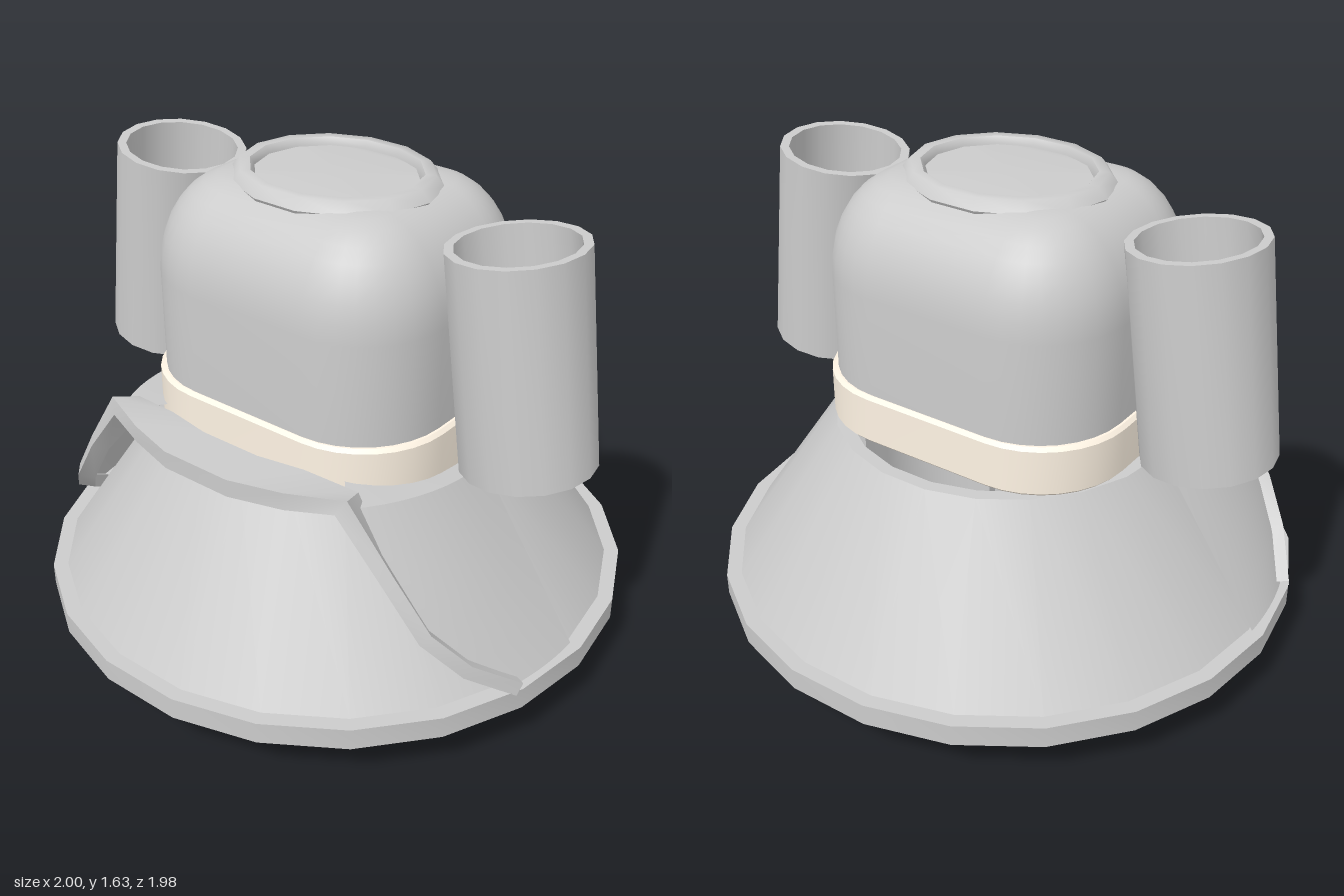
import * as THREE from 'three';
import { toCreasedNormals } from 'three/addons/utils/BufferGeometryUtils.js';

const grey = new THREE.MeshStandardMaterial({ color: 0xcccccc });
const greyThin = new THREE.MeshStandardMaterial({ color: 0xcccccc, side: THREE.DoubleSide });
const cream = new THREE.MeshStandardMaterial({ color: 0xfff4e4 });

function part(name, geometry, material = grey, crease = 0.6) {
  const mesh = new THREE.Mesh(toCreasedNormals(geometry, crease), material);
  mesh.name = name;
  return mesh;
}

// Skin a list of rows, each a list of Vector3
function skin(rows, closed) {
  const n = rows[0].length, index = [], pos = [];
  rows.flat().forEach(p => pos.push(p.x, p.y, p.z));
  for (let i = 0; i < rows.length - 1; i++) {
    for (let j = 0; j < (closed ? n : n - 1); j++) {
      const k = (j + 1) % n, a = i * n + j, b = i * n + k;
      index.push(a, b, b + n, a, b + n, a + n);
    }
  }
  const g = new THREE.BufferGeometry();
  g.setAttribute('position', new THREE.Float32BufferAttribute(pos, 3));
  g.setIndex(index);
  return g;
}

// Rounded rectangle ring in plan
function ring(hx, hz, r, y) {
  const pts = [], corners = [[1, -1], [-1, -1], [-1, 1], [1, 1]];
  corners.forEach(([sx, sz], q) => {
    for (let i = 0; i <= 8; i++) {
      const a = (q + i / 8) * Math.PI / 2;
      pts.push(new THREE.Vector3(sx * (hx - r) + r * Math.cos(a), y, sz * (hz - r) - r * Math.sin(a)));
    }
  });
  return pts;
}

// Closed body from layers of [inset, y]
function roundedBody(hx, hz, r, layers) {
  const rows = layers.map(([d, y]) => ring(hx - d, hz - d, r - d, y));
  const cap = y => rows[0].map(() => new THREE.Vector3(0, y, 0));
  return skin([cap(layers[0][1]), ...rows, cap(layers.at(-1)[1])], true);
}

// Closed ring profile, anticlockwise in (radius, height)
function lathe(profile, sides) {
  const pts = [...profile, profile[0]].map(p => new THREE.Vector2(...p));
  return new THREE.LatheGeometry(pts, sides, Math.PI / 2);
}

// Half-round leg shell, open at the back
function legShell(R, inner, y0, y1) {
  const s = new THREE.Shape();
  s.moveTo(-R, 0.1);
  s.lineTo(-R, -0.02);
  s.absarc(0, -0.02, R, Math.PI, 2 * Math.PI, false);
  s.lineTo(R, 0.1);
  s.lineTo(inner, 0.1);
  s.lineTo(inner, -0.02);
  s.absarc(0, -0.02, inner, 2 * Math.PI, Math.PI, true);
  s.closePath();
  return new THREE.ExtrudeGeometry(s, { depth: y1 - y0, bevelEnabled: false, curveSegments: 16 })
    .rotateX(-Math.PI / 2).translate(0, y0, 0);
}

const coneRadius = y => 0.95 - (y - 0.24) * 0.676;

// Front edge of the overlay, bottom to top: x, y, z
const edge = [[0.93, 0.24, 0.28], [0.83, 0.35, 0.42], [0.73, 0.47, 0.5],
  [0.61, 0.65, 0.53], [0.47, 0.84, 0.54]];

// Raised side panel that peels away from the skirt towards the front
function sidePanel(side) {
  const rows = [];
  const addRow = (r, y, angle, baseR, baseY) => {
    const row = [];
    for (let i = 0; i <= 10; i++) {
      const u = i / 10, a = THREE.MathUtils.lerp(0, angle, u);
      const rr = THREE.MathUtils.lerp(baseR, r, u ** 1.3), yy = THREE.MathUtils.lerp(baseY, y, u);
      row.push(new THREE.Vector3(side * rr * Math.cos(a), yy, rr * Math.sin(a)));
    }
    rows.push(row);
  };
  edge.forEach(([x, y, z]) => {
    const baseY = Math.min(y, 0.78);
    addRow(Math.hypot(x, z), y, Math.atan2(z, x), coneRadius(baseY) + 0.012, baseY);
  });
  const [x, y, z] = edge.at(-1);
  addRow(0.56, y, Math.atan2(z, x), 0.54, 0.78); // inward top strip
  return skin(rows, false);
}

// Edge trim: up one side, across the front lip, down the other
function trim() {
  const half = [...edge.slice(0, 4).map(p => [...p, 0.06, 0.045]),
    [0.46, 0.85, 0.53, 0.1, 0.06], [0.29, 0.85, 0.57, 0.14, 0.06], [0.12, 0.85, 0.61, 0.16, 0.06]];
  const path = [...half, ...[...half].reverse().map(([x, ...rest]) => [-x, ...rest])];
  const at = i => new THREE.Vector3(...path[Math.max(0, Math.min(path.length - 1, i))].slice(0, 3));
  const rows = path.map(([x, y, z, w, h], i) => {
    const tangent = at(i + 1).sub(at(i - 1)).normalize();
    const out = new THREE.Vector3(x, 0, z).normalize();
    out.addScaledVector(tangent, -out.dot(tangent)).normalize();
    const up = tangent.clone().cross(out);
    return [[1, 1], [1, -1], [-1, -1], [-1, 1]].map(([a, b]) =>
      at(i).addScaledVector(out, a * w / 2).addScaledVector(up, b * h / 2));
  });
  return skin(rows, true);
}

export function createModel() {
  const model = new THREE.Group();
  model.name = 'robedFigure';

  // Head with domed top
  const layers = [[0, 0.82]];
  for (let i = 0; i <= 8; i++) {
    const a = i / 8 * Math.PI / 2;
    layers.push([0.24 * (1 - Math.cos(a)), 1.29 + 0.32 * Math.sin(a)]);
  }
  model.add(part('head', roundedBody(0.52, 0.45, 0.3, layers), grey, 0.8));

  // Pale band around the base of the head
  model.add(part('headBand', roundedBody(0.54, 0.465, 0.31,
    [[0.01, 0.78], [0, 0.79], [0, 0.94], [0.012, 0.952]]), cream));

  // Ring on the crown
  const crown = part('crownRing', lathe([[0.28, 1.56], [0.335, 1.57], [0.355, 1.6], [0.325, 1.635],
    [0.29, 1.635], [0.275, 1.615]], 14), grey, 0.9);
  crown.scale.z = 0.86;
  model.add(crown);

  // Flared skirt with a thick hem
  model.add(part('skirt', lathe([[0.93, 0.165], [1, 0.165], [1, 0.24], [0.95, 0.24],
    [0.585, 0.78], [0.54, 0.78], [0.91, 0.22]], 22)));
  model.add(part('skirtTrim', trim(), greyThin));

  for (const side of [1, -1]) {
    const label = side > 0 ? 'left' : 'right';
    model.add(part(label + 'SkirtPanel', sidePanel(side), greyThin, 0.8));

    // Hollow tilted arm tube
    const arm = part(label + 'Arm', lathe([[0.217, -0.355], [0.217, 0.355],
      [0.188, 0.355], [0.188, -0.355]], 16));
    arm.position.set(side * 0.71, 1.2, 0);
    arm.rotation.z = side * 0.127;
    model.add(arm);

    // Leg shell and foot rim
    const leg = new THREE.Group();
    leg.name = label + 'Leg';
    leg.add(part('legShell', legShell(0.3, 0.255, 0.06, 0.65)));
    leg.add(part('footRim', legShell(0.31, 0.25, 0, 0.075)));
    leg.position.x = side * 0.311;
    model.add(leg);
  }
  return model;
}
